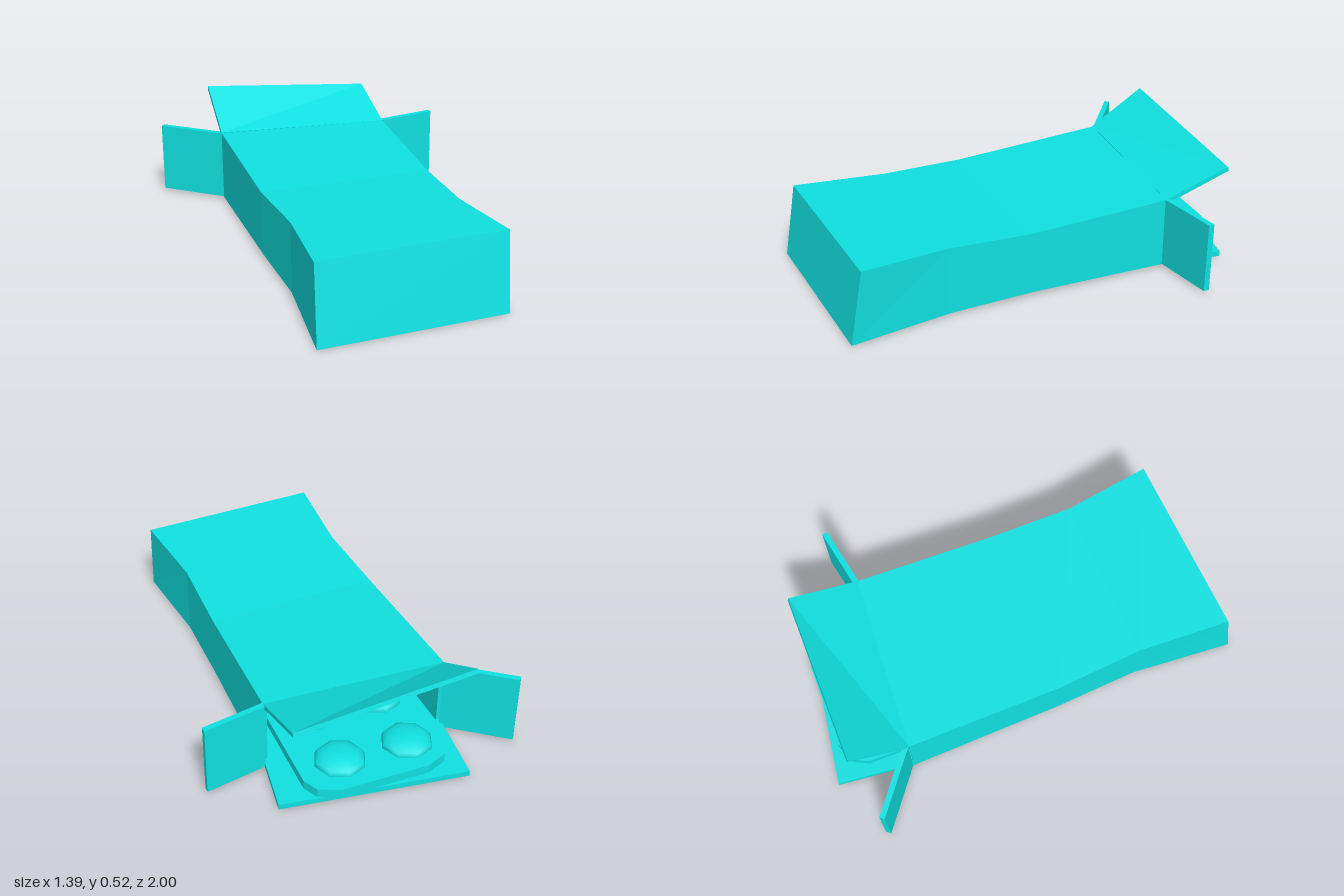
import * as THREE from 'three';

const material = new THREE.MeshStandardMaterial({ color: 0x10e0e0, flatShading: true });
const smooth = new THREE.MeshStandardMaterial({ color: 0x10e0e0 });

// Joins four-cornered rings into a capped solid; the first ring runs counter-clockwise seen from outside.
function loft(name, rings) {
  const pos = [];
  const quad = (a, b, c, d) => pos.push(...a, ...b, ...c, ...a, ...c, ...d);
  quad(...rings[0]);
  for (let r = 0; r + 1 < rings.length; r++) {
    for (let i = 0; i < 4; i++) {
      const j = (i + 1) % 4;
      quad(rings[r][i], rings[r + 1][i], rings[r + 1][j], rings[r][j]);
    }
  }
  quad(...rings[rings.length - 1].slice().reverse());
  const g = new THREE.BufferGeometry();
  g.setAttribute('position', new THREE.Float32BufferAttribute(pos, 3));
  g.computeVertexNormals();
  const mesh = new THREE.Mesh(g, material);
  mesh.name = name;
  return mesh;
}

// A thin card: one face, thickened along the vector t
const panel = (name, face, t) =>
  loft(name, [face, face.map((p) => p.map((v, k) => v + t[k]))]);

export function createModel() {
  const model = new THREE.Group();
  model.name = 'openCarton';

  // Carton sleeve: outer rings front to back, then inner rings back to front
  const outer = [
    [[-0.455, 0, 0.995], [0.41, 0, 0.96], [0.42, 0.36, 0.9], [-0.445, 0.36, 0.935]],
    [[-0.412, 0.01, 0.5], [0.37, 0.01, 0.49], [0.37, 0.342, 0.49], [-0.412, 0.342, 0.5]],
    [[-0.432, 0.02, 0.1], [0.382, 0.02, 0.09], [0.382, 0.325, 0.09], [-0.432, 0.325, 0.1]],
    [[-0.435, 0.008, -0.64], [0.402, 0.008, -0.58], [0.402, 0.35, -0.58], [-0.435, 0.355, -0.64]],
  ];
  const wall = 0.018;
  const inner = outer.map((ring, r) => ring.map(([x, y, z], i) => [
    x + (i === 0 || i === 3 ? wall : -wall),
    y + (i < 2 ? wall : -wall),
    z - (r === 0 ? wall : 0),
  ])).reverse();
  model.add(loft('cartonBody', [...outer, ...inner]));

  // Flaps around the open back end
  model.add(panel('topFlap', [
    [-0.435, 0.357, -0.64], [0.402, 0.35, -0.58], [0.402, 0.45, -0.905], [-0.435, 0.52, -0.912],
  ], [0, -0.02, -0.006]));
  model.add(panel('bottomFlap', [
    [-0.435, 0.032, -0.64], [0.402, 0.032, -0.58], [0.45, 0.032, -0.865], [-0.39, 0.032, -1],
  ], [0, -0.026, 0]));
  model.add(panel('leftFlap', [
    [0.402, 0.01, -0.575], [0.69, 0.01, -0.625], [0.69, 0.352, -0.625], [0.402, 0.352, -0.575],
  ], [0, 0, -0.027]));
  model.add(panel('rightFlap', [
    [-0.697, 0.01, -0.855], [-0.435, 0.01, -0.645], [-0.435, 0.352, -0.645], [-0.697, 0.352, -0.855],
  ], [0.016, 0, -0.02]));

  // Blister tray sliding out, with clipped corners
  const tray = new THREE.Group();
  tray.name = 'blisterTray';
  const corner = [[0.335, 0.39], [0.3, 0.46], [0.205, 0.5]];
  const flip = (sx, sy) => corner.map(([x, y]) => new THREE.Vector2(sx * x, sy * y));
  const outline = new THREE.Shape([
    ...flip(1, 1), ...flip(-1, 1).reverse(), ...flip(-1, -1), ...flip(1, -1).reverse(),
  ]);
  const sheetGeometry = new THREE.ExtrudeGeometry(outline, { depth: 0.043, bevelEnabled: false });
  sheetGeometry.rotateX(-Math.PI / 2);
  const sheet = new THREE.Mesh(sheetGeometry, material);
  sheet.name = 'blisterSheet';
  tray.add(sheet);

  // Rows of low domes
  const domeGeometry = new THREE.SphereGeometry(1, 8, 4, 0, Math.PI * 2, 0, Math.PI / 2);
  domeGeometry.scale(0.118, 0.05, 0.118);
  for (const x of [-0.18, 0.14]) {
    for (const z of [-0.325, 0, 0.325]) {
      const dome = new THREE.Mesh(domeGeometry, smooth);
      dome.name = 'blisterDome';
      dome.position.set(x, 0.043, z);
      tray.add(dome);
    }
  }
  tray.position.set(-0.03, 0.033, -0.433);
  tray.rotation.y = -0.025;
  model.add(tray);

  return model;
}
